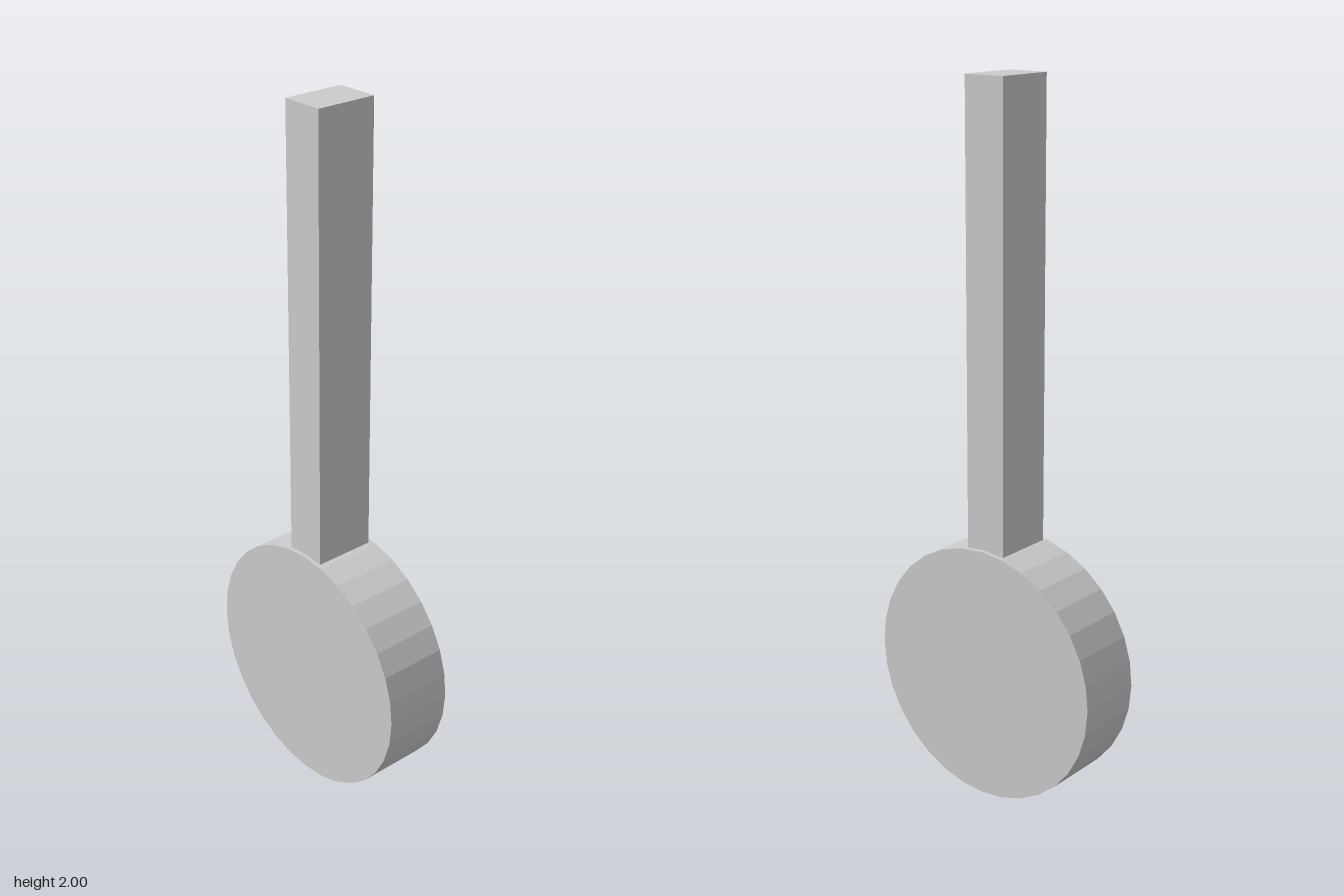
import * as THREE from 'three';

export function createModel() {
  const group = new THREE.Group();
  const material = new THREE.MeshStandardMaterial({ color: 0xcccccc, flatShading: true });
  const radius = 0.367;

  // Round head: a thick 32-sided disc with its axis along x
  const discGeometry = new THREE.CylinderGeometry(radius, radius, 0.204, 32);
  discGeometry.rotateZ(Math.PI / 2);
  const disc = new THREE.Mesh(discGeometry, material);
  disc.name = 'disc';
  disc.position.y = radius;
  group.add(disc);

  // Straight handle, slightly off-centre, sunk a little into the rim
  const bottom = 0.7;
  const handle = new THREE.Mesh(new THREE.BoxGeometry(0.178, 2 - bottom, 0.123), material);
  handle.name = 'handle';
  handle.position.set(-0.001, (2 + bottom) / 2, -0.0055);
  group.add(handle);

  return group;
}
